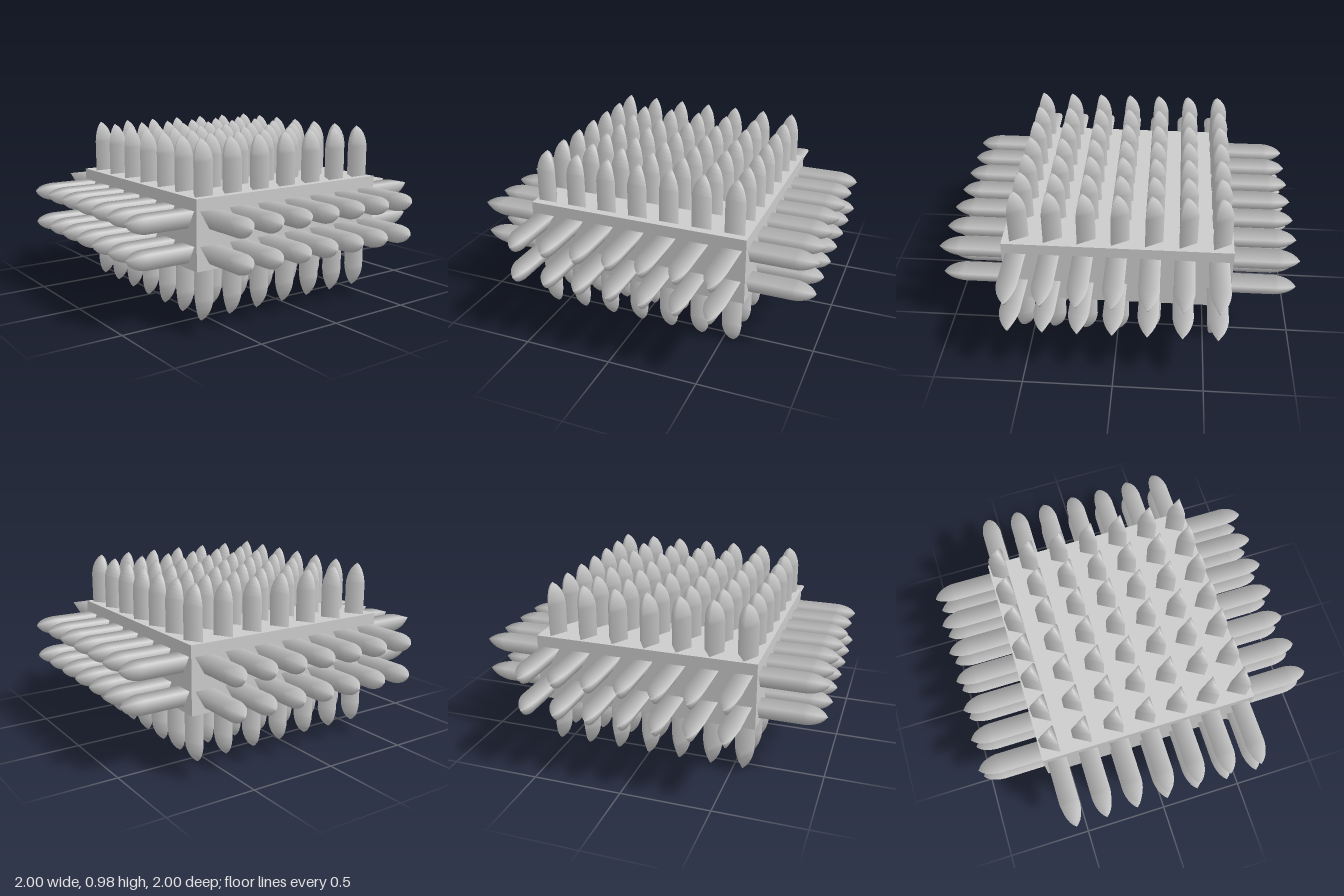
import * as THREE from 'three';

const HALF = 0.633;        // half width of the block
const HALF_H = 0.19;       // half height of the block
const MID_Y = 0.488;       // height of the block's centre
const STEP = 0.185;        // spacing between spikes
const R = 0.065;           // corner radius of the triangular spikes

// Three-sided spike with a bullet tip, rooted slightly inside the block
function spikeGeometry(length) {
  const tip = [[1, 0.12], [0.96, 0.1], [0.87, 0.075], [0.72, 0.05], [0.53, 0.03], [0.3, 0.014], [0, 0]];
  const profile = [new THREE.Vector2(R, -0.02)];
  for (const [r, down] of tip) profile.push(new THREE.Vector2(r * R, length - down));
  return new THREE.LatheGeometry(profile, 3, Math.PI);
}

// Grid of upright spikes
function spikePanel(name, geometry, material, columns, rows) {
  const panel = new THREE.Group();
  panel.name = name;
  for (let i = 0; i < columns; i++) {
    for (let j = 0; j < rows; j++) {
      const spike = new THREE.Mesh(geometry, material);
      spike.name = 'spike';
      spike.position.set((i - (columns - 1) / 2) * STEP, 0, (j - (rows - 1) / 2) * STEP);
      panel.add(spike);
    }
  }
  return panel;
}

export function createModel() {
  const model = new THREE.Group();
  model.name = 'spikedBlock';
  const grey = new THREE.MeshStandardMaterial({ color: 0xcccccc });

  // Central block
  const block = new THREE.Mesh(new THREE.BoxGeometry(HALF * 2, HALF_H * 2, HALF * 2), grey);
  block.name = 'block';
  block.position.y = MID_Y;
  model.add(block);

  // Top and bottom spikes, ridges towards the back
  const shortSpike = spikeGeometry(MID_Y - HALF_H);
  const top = spikePanel('topSpikes', shortSpike, grey, 7, 7);
  top.position.y = MID_Y + HALF_H;
  const bottom = spikePanel('bottomSpikes', shortSpike, grey, 7, 7);
  bottom.position.y = MID_Y - HALF_H;
  bottom.rotation.z = Math.PI;
  model.add(top, bottom);

  // Four sides of longer spikes, ridges downwards
  const longSpike = spikeGeometry(1 - HALF);
  ['back', 'left', 'front', 'right'].forEach((side, k) => {
    const panel = spikePanel(side + 'Spikes', longSpike, grey, 7, 2);
    panel.rotation.x = -Math.PI / 2;
    panel.position.set(0, MID_Y, -HALF);
    const pivot = new THREE.Group();
    pivot.name = side + 'Side';
    pivot.rotation.y = -k * Math.PI / 2;
    pivot.add(panel);
    model.add(pivot);
  });

  return model;
}
